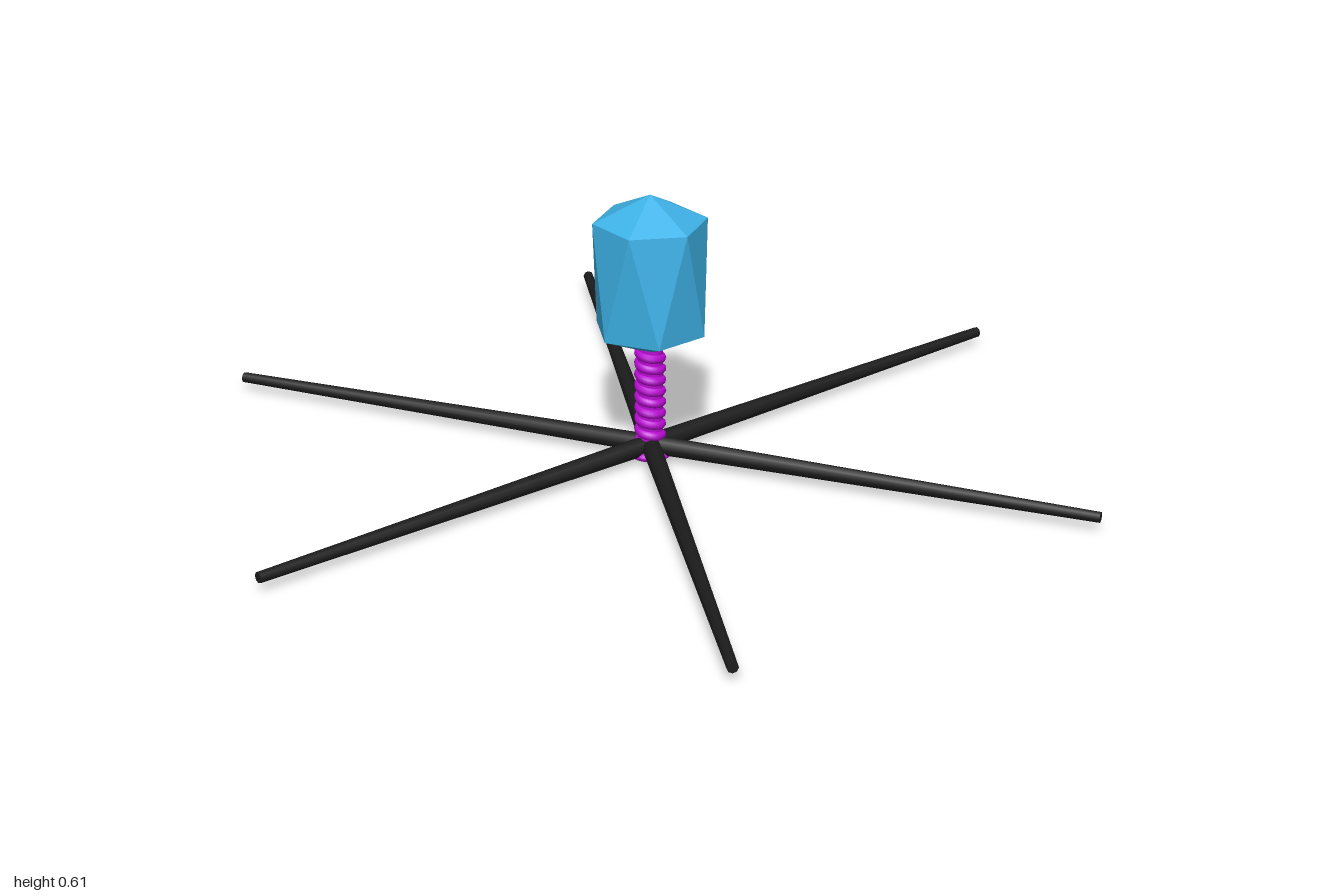
import * as THREE from 'three';

const mat = (name, color) => {
  const m = new THREE.MeshStandardMaterial({ color });
  m.name = name;
  return m;
};

// Hexagonal antiprism capped by two shallow pyramids
function capsidGeometry(r, yBottom, yLower, yUpper, yTop) {
  const ring = (i, y, turn) => {
    const a = (i + turn) * Math.PI / 3;
    return [r * Math.cos(a), y, r * Math.sin(a)];
  };
  const top = [0, yTop, 0], bottom = [0, yBottom, 0], pos = [];
  for (let i = 0; i < 6; i++) {
    const u0 = ring(i, yUpper, 0), u1 = ring(i + 1, yUpper, 0);
    const l0 = ring(i, yLower, 0.5), l1 = ring(i + 1, yLower, 0.5);
    pos.push(...top, ...u1, ...u0, ...u0, ...u1, ...l0);
    pos.push(...l0, ...u1, ...l1, ...bottom, ...l0, ...l1);
  }
  const g = new THREE.BufferGeometry();
  g.setAttribute('position', new THREE.Float32BufferAttribute(pos, 3));
  g.computeVertexNormals();
  return g;
}

class Helix extends THREE.Curve {
  constructor(radius, y0, y1, turns) {
    super();
    Object.assign(this, { radius, y0, y1, turns });
  }
  getPoint(t, target = new THREE.Vector3()) {
    const a = t * this.turns * Math.PI * 2;
    return target.set(this.radius * Math.cos(a), this.y0 + (this.y1 - this.y0) * t, this.radius * Math.sin(a));
  }
}

export function createModel() {
  const model = new THREE.Group();
  const blue = mat('capsid blue', 0x3eb3e8);
  const purple = mat('tail purple', 0xbb0cd4);
  const black = mat('fibre black', 0x1c1c1c);

  const add = (name, geometry, material, parent = model) => {
    const mesh = new THREE.Mesh(geometry, material);
    mesh.name = name;
    parent.add(mesh);
    return mesh;
  };

  // Faceted head
  add('head', capsidGeometry(0.124, 0.25, 0.305, 0.553, 0.612), blue);

  // Coiled tail around a plain core
  add('tailCoil', new THREE.TubeGeometry(new Helix(0.024, 0.03, 0.264, 9), 240, 0.011, 8), purple);
  add('tailCore', new THREE.CylinderGeometry(0.028, 0.028, 0.235, 16).translate(0, 0.145, 0), purple);

  // Flattened base plate
  add('basePlate', new THREE.SphereGeometry(1, 24, 12).scale(0.049, 0.016, 0.049).translate(0, 0.016, 0), purple);

  // Six tapered legs, spread evenly, two of them along z
  const legGeometry = new THREE.CylinderGeometry(0.012, 0.022, 1, 8)
    .translate(0, 0.5, 0)
    .rotateX(Math.PI / 2);
  const legs = new THREE.Group();
  legs.name = 'legs';
  legs.position.y = 0.033;
  model.add(legs);
  for (let i = 0; i < 6; i++) {
    add('leg' + (i + 1), legGeometry, black, legs).rotation.y = i * Math.PI / 3;
  }

  return model;
}
